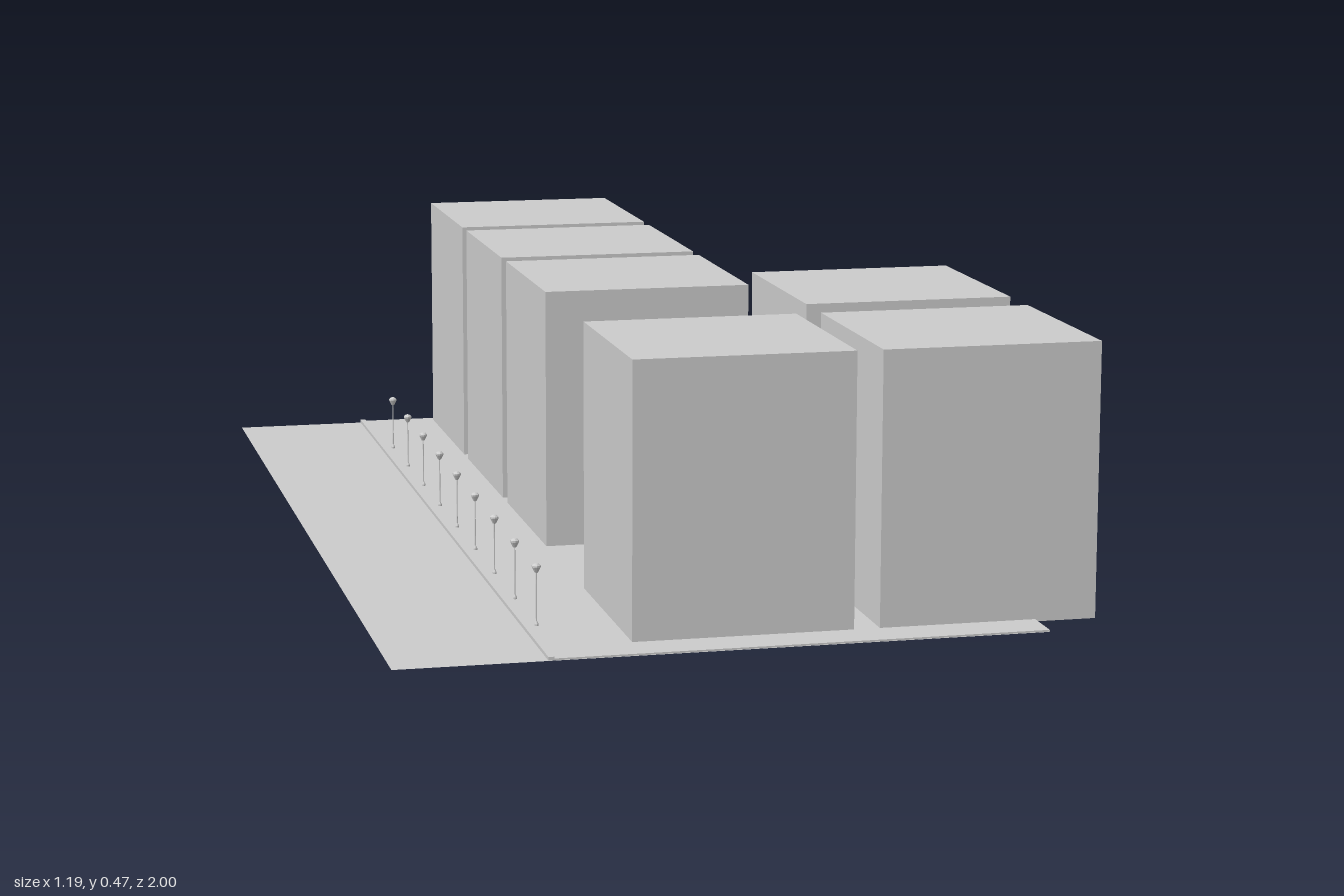
import * as THREE from 'three';

const grey = new THREE.MeshStandardMaterial({ color: 0xcccccc, flatShading: true });
const thin = new THREE.MeshStandardMaterial({ color: 0xcccccc, side: THREE.DoubleSide });

// Box given by its lower and upper bounds
function block(name, x0, x1, y0, y1, z0, z1) {
  const mesh = new THREE.Mesh(new THREE.BoxGeometry(x1 - x0, y1 - y0, z1 - z0), grey);
  mesh.position.set((x0 + x1) / 2, (y0 + y1) / 2, (z0 + z1) / 2);
  mesh.name = name;
  return mesh;
}

function turned(name, points) {
  const profile = points.map(([r, y]) => new THREE.Vector2(r, y));
  const mesh = new THREE.Mesh(new THREE.LatheGeometry(profile, 10), grey);
  mesh.name = name;
  return mesh;
}

// Street lamp: flared foot, slim pole and tapered lantern
function streetLamp() {
  const lamp = new THREE.Group();
  lamp.name = 'streetLamp';
  lamp.add(
    turned('lampFoot', [[0.0035, 0], [0.0035, 0.004], [0.0012, 0.009]]),
    turned('lampPole', [[0.0012, 0.008], [0.001, 0.093]]),
    turned('lampLantern', [[0, 0.09], [0.003, 0.091], [0.0075, 0.1], [0.0075, 0.103], [0.004, 0.106], [0, 0.107]])
  );
  return lamp;
}

export function createModel() {
  const model = new THREE.Group();
  model.name = 'cityBlock';

  // Road surface
  const road = new THREE.Mesh(new THREE.PlaneGeometry(1.09, 2), thin);
  road.rotation.x = -Math.PI / 2;
  road.position.set(-0.055, 0.0005, 0);
  road.name = 'road';
  model.add(road);

  // Raised pavement and its kerb
  model.add(block('pavement', -0.34, 0.49, 0.001, 0.004, -1, 1));
  model.add(block('kerb', -0.348, -0.338, 0.001, 0.007, -1, 1));

  // Buildings: street row, then the row behind it
  const size = 0.373;
  const rows = [
    [-0.195, [-0.98, -0.562, -0.143, 0.554]],
    [0.222, [0.088, 0.554]],
  ];
  for (const [x, starts] of rows) {
    for (const z of starts) model.add(block('building', x, x + size, 0, 0.468, z, z + size));
  }

  // Lamps along the kerb
  for (let i = 0; i < 9; i++) {
    const lamp = streetLamp();
    lamp.position.set(-0.325, 0.003, -0.702 + i * 0.1863);
    model.add(lamp);
  }
  return model;
}
